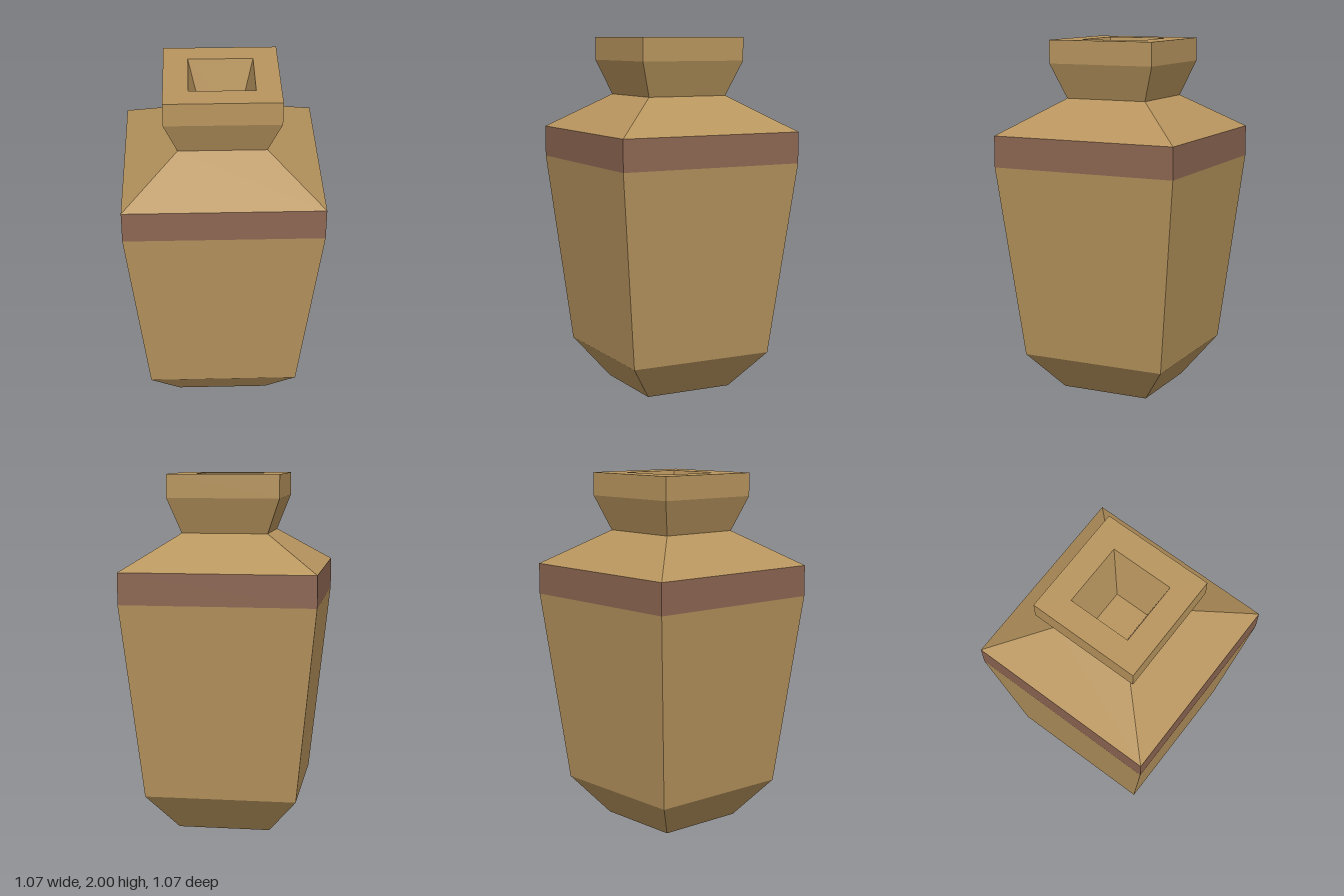
import * as THREE from 'three';

const clay = new THREE.MeshStandardMaterial({ color: 0xb8955e });
clay.name = 'clay';
const paint = new THREE.MeshStandardMaterial({ color: 0x8d6652 });
paint.name = 'brownBand';

// Square-sided turning: each profile point is [half width, height]
function squareLathe(name, profile, material) {
  const points = profile.map(([w, y]) => new THREE.Vector2(w * Math.SQRT2, y));
  const geometry = new THREE.LatheGeometry(points, 4, Math.PI / 4).toNonIndexed();
  geometry.computeVertexNormals(); // flat facets
  const mesh = new THREE.Mesh(geometry, material);
  mesh.name = name;
  return mesh;
}

export function createModel() {
  const vase = new THREE.Group();
  vase.name = 'vase';
  vase.add(
    // Closed underside and tapered foot
    squareLathe('foot', [[0, 0], [0.258, 0], [0.422, 0.215]], clay),
    // Flaring body
    squareLathe('body', [[0.422, 0.215], [0.537, 1.305]], clay),
    // Painted band around the widest part
    squareLathe('band', [[0.537, 1.305], [0.537, 1.48]], paint),
    // Sloping shoulder
    squareLathe('shoulder', [[0.537, 1.48], [0.239, 1.675]], clay),
    // Neck and lip
    squareLathe('neck', [[0.239, 1.675], [0.311, 1.87]], clay),
    squareLathe('lip', [[0.311, 1.87], [0.311, 2], [0.177, 2]], clay),
    // Hollow mouth narrowing to its floor
    squareLathe('mouth', [[0.177, 2], [0.099, 1.675], [0, 1.675]], clay),
  );
  return vase;
}
